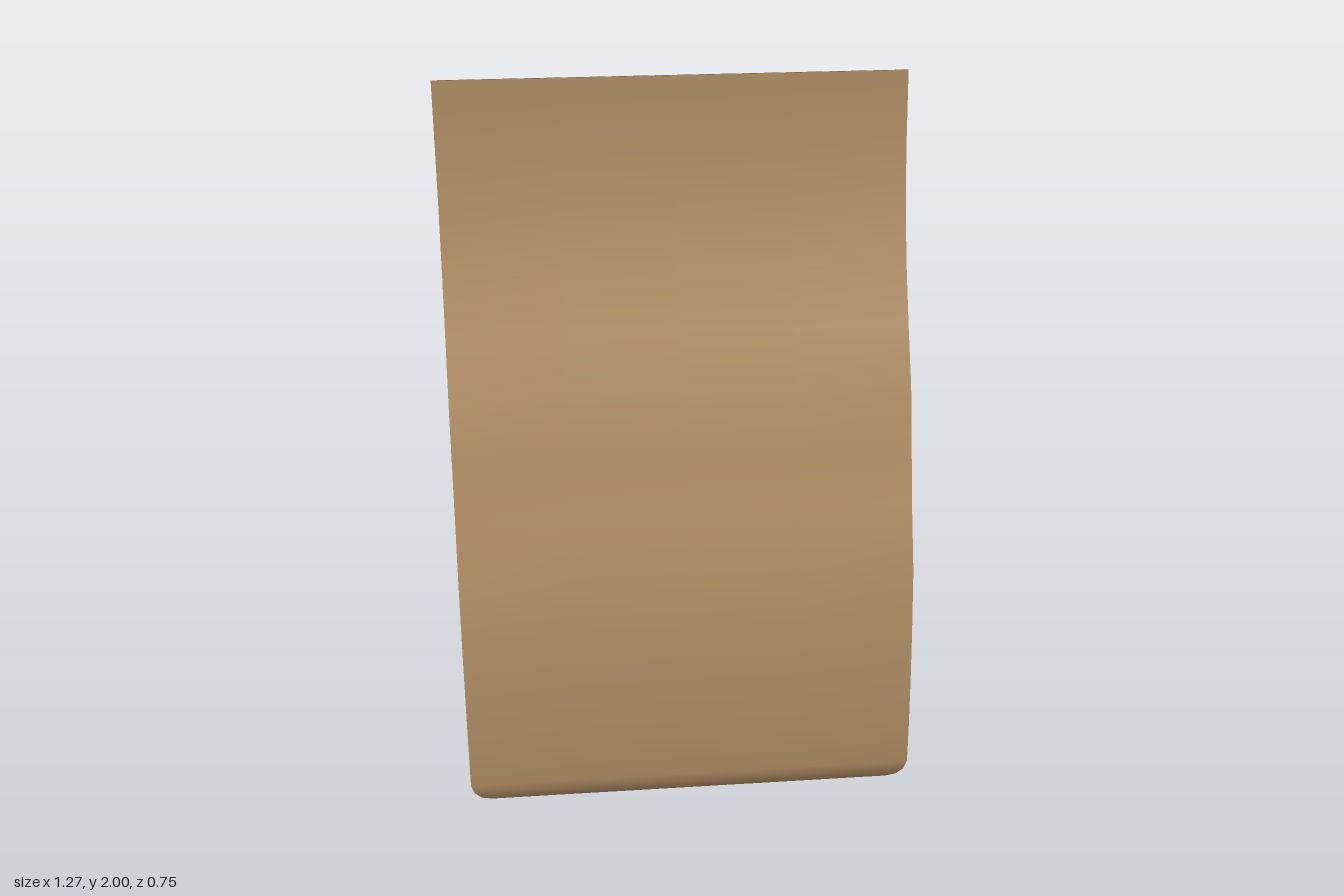
import * as THREE from 'three';

// Bag profile: [height, half depth, half width, gusset inset]
const PROFILE = [
  [2.0, 0.002, 0.625, 0], [1.92, 0.007, 0.625, 0.03], [1.8, 0.016, 0.625, 0.07],
  [1.65, 0.038, 0.625, 0.1], [1.49, 0.08, 0.625, 0.12], [1.33, 0.14, 0.625, 0.12],
  [1.18, 0.203, 0.625, 0.12], [1.02, 0.242, 0.625, 0.115], [0.86, 0.28, 0.625, 0.11],
  [0.68, 0.335, 0.625, 0.1], [0.5, 0.356, 0.625, 0.09], [0.35, 0.368, 0.625, 0.075],
  [0.2, 0.375, 0.625, 0.05], [0.08, 0.375, 0.625, 0.025], [0.05, 0.369, 0.616, 0.02],
  [0.025, 0.356, 0.598, 0.014], [0.008, 0.34, 0.57, 0.006], [0, 0.32, 0.54, 0],
];

// The bag leans slightly sideways towards the top
const lean = (y) => 0.007 - 0.0085 * y;

export function createModel() {
  const group = new THREE.Group();
  group.name = 'paperBag';
  const paper = new THREE.MeshStandardMaterial({ color: 0xb89468, side: THREE.DoubleSide });

  // Bends a grid into a panel; place(row, t) returns a point, t from 0 to 1 along the row
  function panel(name, rows, cols, place) {
    const geo = new THREE.PlaneGeometry(1, 1, cols, rows - 1);
    const pos = geo.attributes.position;
    for (let r = 0; r < rows; r++) {
      for (let c = 0; c <= cols; c++) {
        const [x, y, z] = place(r, c / cols);
        pos.setXYZ(r * (cols + 1) + c, x + lean(y), y, z);
      }
    }
    geo.computeVertexNormals();
    const mesh = new THREE.Mesh(geo, paper);
    mesh.name = name;
    group.add(mesh);
  }

  // Front, base and back as one sheet wrapped under the bag
  const wrap = [
    ...PROFILE.map(([y, d, w]) => [y, d, w]),
    ...[0.28, 0, -0.28].map((z) => [0, z, 0.54]),
    ...PROFILE.map(([y, d, w]) => [y, -d, w]).reverse(),
  ];
  panel('frontBaseAndBack', wrap.length, 4, (r, t) => {
    const [y, z, w] = wrap[r];
    return [(2 * t - 1) * w, y, z];
  });

  // Side gussets, sunk inwards along their middle
  for (const side of [1, -1]) {
    panel(side > 0 ? 'leftGusset' : 'rightGusset', PROFILE.length, 12, (r, t) => {
      const [y, d, w, inset] = PROFILE[r];
      const s = 1 - 2 * t;
      return [side * (w - inset * (1 - s * s)), y, side * s * d];
    });
  }

  // Folded-over top: a thin strip hanging behind the bag, [height, z]
  const flap = [
    [1.995, -0.002], [1.975, -0.012], [1.93, -0.022], [1.87, -0.031], [1.8, -0.037],
    [1.75, -0.04], [1.69, -0.039], [1.685, -0.044], [1.69, -0.049], [1.75, -0.052],
    [1.8, -0.049], [1.87, -0.042], [1.93, -0.034], [1.975, -0.023], [1.993, -0.012], [2, 0],
  ];
  panel('foldedTop', flap.length, 4, (r, t) => [(2 * t - 1) * 0.625, ...flap[r]]);

  return group;
}
